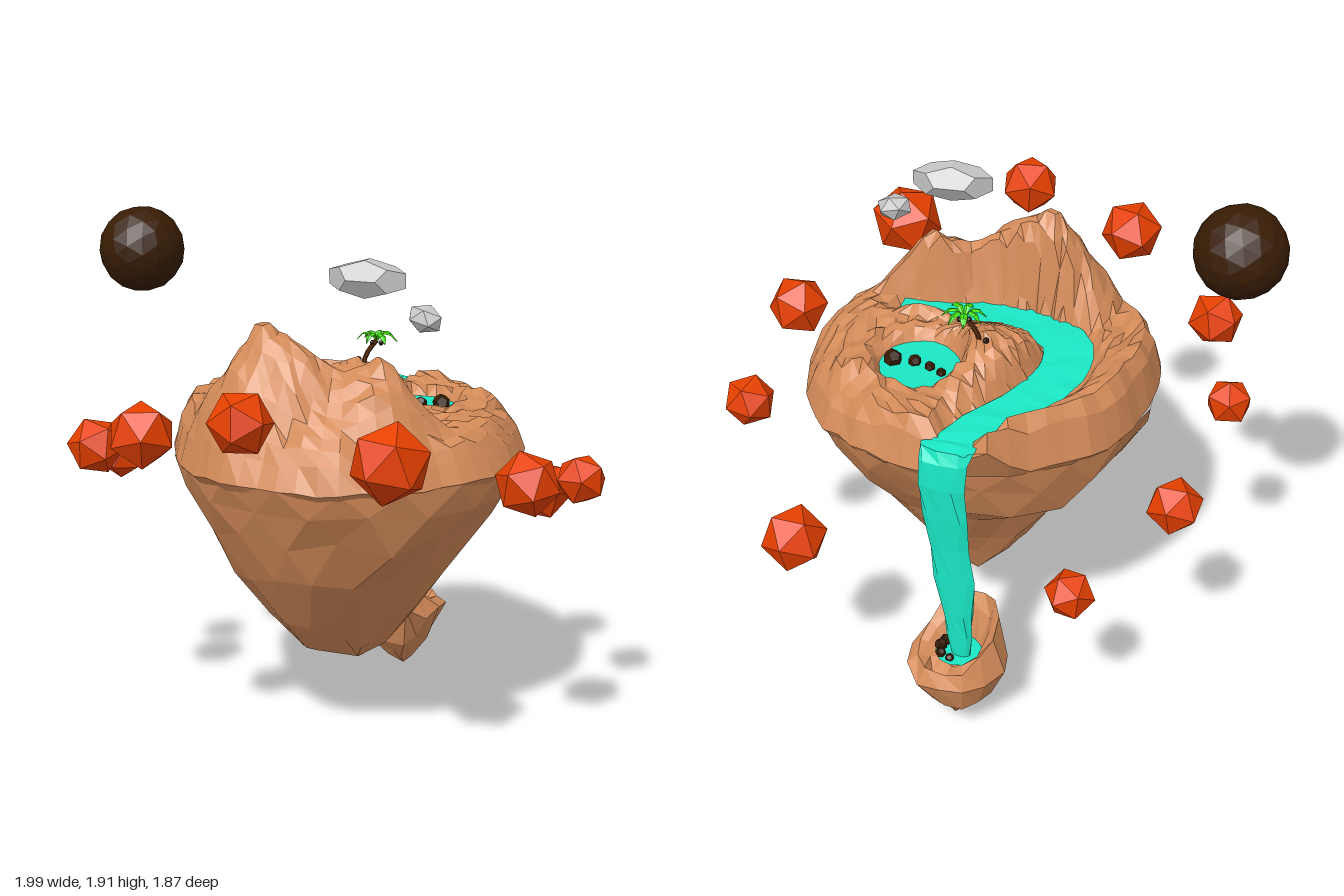
import * as THREE from 'three';

const V = (x, y, z) => new THREE.Vector3(x, y, z);
const mat = (name, color, extra = {}) => {
  const m = new THREE.MeshStandardMaterial({ color, flatShading: true, ...extra });
  m.name = name;
  return m;
};
const M = {
  rock: mat('sandstone', 0xd48b59),
  water: mat('turquoise water', 0x1cf4d0, { side: THREE.DoubleSide }),
  red: mat('red rock', 0xe64000),
  dark: mat('dark brown', 0x381c04),
  grey: mat('cloud grey', 0xc6c6c6),
  green: mat('palm green', 0x42e40c, { side: THREE.DoubleSide }),
  trunk: mat('trunk brown', 0x5a3010),
};

let seed = 7;
const rnd = () => {
  seed = (seed * 16807) % 2147483647;
  return seed / 2147483647;
};
const jit = (a) => (rnd() - 0.5) * 2 * a;

// Surface through a list of point rings (equal lengths).
function loft(rings, wrap = true) {
  const n = rings[0].length, idx = [];
  for (let i = 0; i < rings.length - 1; i++)
    for (let j = 0; j < (wrap ? n : n - 1); j++) {
      const k = (j + 1) % n, a = i * n + j, b = i * n + k;
      idx.push(a, b, a + n, b, b + n, a + n);
    }
  const g = new THREE.BufferGeometry().setFromPoints(rings.flat());
  g.setIndex(idx);
  g.computeVertexNormals();
  return g;
}
const ring = (n, fn, shift = 0) =>
  Array.from({ length: n }, (_, j) => fn(((j + shift) / n) * Math.PI * 2));

// River course, half width along it, and water level
const RIVER = new THREE.CatmullRomCurve3([
  V(0.09, 1.24, 0.34), V(0, 1.24, 0.22), V(-0.13, 1.24, 0.08), V(-0.22, 1.235, -0.1),
  V(-0.22, 1.235, -0.24), V(-0.1, 1.23, -0.36), V(0.1, 1.225, -0.42), V(0.33, 1.22, -0.425), V(0.5, 1.212, -0.465),
]);
const riverPts = RIVER.getSpacedPoints(50);
const riverW = (t) => 0.036 + 0.04 * THREE.MathUtils.smoothstep(t, 0.05, 0.4);
const POOL = V(0.265, 1.225, -0.015);

// Cone-shaped hills: x, z, height, radius
const HILLS = [
  [-0.37, 0.04, 0.37, 0.28], [-0.05, 0.31, 0.27, 0.22], [-0.24, 0.2, 0.13, 0.18],
  [-0.3, 0.34, 0.05, 0.16], [-0.12, 0.43, 0.04, 0.13], [0.1, -0.18, 0.13, 0.26],
  [0.42, -0.56, 0.13, 0.16], [0.5, 0.1, 0.03, 0.15],
];

function height(x, z, q, ang) {
  const back = Math.max(0, -Math.sin(ang));
  let h = 1.265 - 0.175 * Math.pow(q, 10 + 14 * back);
  // raised bank behind the river
  h += 0.045 * Math.sqrt(back) * Math.max(0, 1 - Math.abs(q - 0.89) / 0.14);
  for (const [hx, hz, a, r] of HILLS)
    h += a * Math.max(0, 1 - Math.hypot(x - hx, z - hz) / r);
  h += jit(0.014) * Math.min(1, q * 2.5) * (q < 0.97 ? 1 : 0.6);
  // carve the river bed and the pool
  let gap = 9;
  riverPts.forEach((p, i) => {
    gap = Math.min(gap, Math.hypot(x - p.x, z - p.z) - riverW(i / 50));
  });
  gap = Math.min(gap, Math.hypot(x - POOL.x, z - POOL.z) - 0.128);
  const t = THREE.MathUtils.smoothstep(gap, -0.015, 0.06);
  return Math.min(h, THREE.MathUtils.lerp(1.18, h, t));
}

function islandTop() {
  const n = 54, m = 18;
  // slightly wavy rim with a bulge beside the waterfall
  const edge = ring(n, (a) => 1 + 0.012 * Math.sin(a * 7) + jit(0.01) + 0.06 * Math.exp(-(((a - 5.36) / 0.14) ** 2)));
  const rings = [];
  for (let i = 0; i <= m; i++) {
    const q = i / m;
    rings.push(Array.from({ length: n }, (_, j) => {
      const a = (j / n) * Math.PI * 2;
      const k = q * edge[j] + (i > 3 && i < m ? jit(0.011) : 0);
      const x = 0.65 * k * Math.cos(a), z = -0.03 + 0.64 * k * Math.sin(a);
      return V(x, height(x, z, q, a), z);
    }));
  }
  // tucked-in lip below the rim
  rings.push(ring(n, (a) => V(0.58 * Math.cos(a), 1.0, -0.03 + 0.57 * Math.sin(a))));
  return loft(rings);
}

function islandBase() {
  // y, centre x, radius x, centre z, radius z
  const rows = [
    [1.09, 0, 0.648, -0.03, 0.638], [0.98, -0.01, 0.605, -0.03, 0.6], [0.86, -0.02, 0.54, -0.03, 0.54],
    [0.68, -0.035, 0.43, 0, 0.385], [0.5, -0.03, 0.295, -0.01, 0.245],
    [0.36, -0.01, 0.18, -0.045, 0.13], [0.235, 0.065, 0, -0.085, 0],
  ];
  return loft(rows.map(([y, cx, rx, cz, rz], i) => ring(18, (a) => {
    const k = 1 + (i ? jit(i > 1 ? 0.05 : 0.025) : 0);
    return V(cx + rx * k * Math.cos(a), y + (i && rx ? jit(0.03) : 0), cz + rz * k * Math.sin(a));
  }, i * 0.5)));
}

function smallIsland() {
  // radius, height, how much the rim tilt applies
  const rows = [[0, 0.28, 0], [0.075, 0.285, 0], [0.115, 0.34, 0.6], [0.15, 0.38, 1],
    [0.182, 0.275, 0.3], [0.13, 0.15, 0], [0.06, 0.07, 0], [0, 0.005, 0]];
  return loft(rows.map(([r, y, t], i) => ring(13, (a) => {
    const k = r * (1 + jit(0.07));
    return V(0.455 + (r ? 0 : 0.02) + k * Math.cos(a), y - 0.1 * t * Math.cos(a) + (r && i > 1 ? jit(0.025) : 0),
      -0.47 + k * Math.sin(a));
  })));
}

function river() {
  return loft(riverPts.filter((_, i) => i % 2 === 0).map((p, i) => {
    const t = i / 25, d = RIVER.getTangentAt(t), w = riverW(t) + 0.03 * (1 - t);
    const s = V(-d.z, 0, d.x).normalize();
    return [-1, 0, 1].map((k) => p.clone().addScaledVector(s, -k * w).add(V(0, jit(0.004), 0)));
  }), false);
}

// Falling sheet, turned to face the back right
function waterfall() {
  // x, y, z, half depth, half width
  const rows = [[0.47, 1.222, -0.455, 0, 0], [0.485, 1.214, -0.455, 0.035, 0.1], [0.515, 1.17, -0.465, 0.022, 0.092],
    [0.525, 1.07, -0.468, 0.02, 0.086], [0.515, 0.94, -0.472, 0.02, 0.08], [0.497, 0.8, -0.475, 0.02, 0.076],
    [0.485, 0.65, -0.483, 0.02, 0.072], [0.475, 0.5, -0.487, 0.02, 0.06], [0.468, 0.39, -0.49, 0.017, 0.048],
    [0.465, 0.29, -0.493, 0.015, 0.034]];
  const c = 0.84, s = 0.54;
  return loft(rows.map(([x, y, z, rx, rz], i) => ring(8, (a) => {
    const u = rx * Math.cos(a) * (1 + jit(0.15)), v = rz * Math.sin(a) * (1 + jit(0.08));
    return V(x + c * u + s * v, y, z - s * u + c * v);
  }, (i % 2) * 0.4)));
}

export function createModel() {
  const model = new THREE.Group();
  model.name = 'floatingIsland';
  const add = (name, geo, material, pos = [0, 0, 0], rot = [0, 0, 0], scale = [1, 1, 1]) => {
    const mesh = new THREE.Mesh(geo, material);
    mesh.name = name;
    mesh.position.set(...pos);
    mesh.rotation.set(...rot);
    mesh.scale.set(...scale);
    model.add(mesh);
  };

  add('islandTop', islandTop(), M.rock);
  add('islandBase', islandBase(), M.rock);
  add('smallIsland', smallIsland(), M.rock);
  add('river', river(), M.water);
  add('waterfall', waterfall(), M.water);
  const flat = [-Math.PI / 2, 0, 0];
  add('pool', new THREE.CircleGeometry(0.16, 20), M.water, POOL.toArray(), flat);
  add('smallPool', new THREE.CircleGeometry(0.085, 12), M.water, [0.46, 0.302, -0.47], flat);

  // Red rocks floating around the island: x, y, z, radius
  [[-0.22, 0.86, -0.84, 0.104], [0.26, 0.71, -0.84, 0.091], [-0.67, 1, -0.635, 0.089], [-0.875, 1.13, -0.34, 0.107],
    [-0.886, 1.285, 0.155, 0.121], [-0.69, 1.39, 0.54, 0.115], [-0.277, 1.265, 0.8, 0.142], [0.287, 1.11, 0.745, 0.118],
    [0.7, 1, 0.46, 0.098], [0.886, 0.795, -0.09, 0.12]].forEach(([x, y, z, r], i) =>
    add('redRock', new THREE.IcosahedronGeometry(r, 0), M.red, [x, y, z], [0.5 + jit(0.15), i * 0.7, jit(0.2)]));

  // Dark moon and grey clouds
  add('darkMoon', new THREE.IcosahedronGeometry(0.163, 2), M.dark, [-0.507, 1.76, -0.78]);
  add('largeCloud', new THREE.DodecahedronGeometry(1, 0), M.grey, [-0.052, 1.762, 0.208], [0, 0.7, 0], [0.074, 0.072, 0.155]);
  add('smallCloud', new THREE.IcosahedronGeometry(1, 0), M.grey, [0.09, 1.635, 0.37], [0.3, 0.6, 0], [0.057, 0.05, 0.07]);

  // Dark stones: x, y, z, radius
  [[0.25, 1.235, -0.11, 0.018], [0.258, 1.235, -0.055, 0.02], [0.28, 1.237, 0.005, 0.024], [0.335, 1.242, 0.062, 0.034],
    [0.132, 1.375, -0.215, 0.012], [0.5, 0.315, -0.42, 0.024], [0.525, 0.312, -0.45, 0.02], [0.47, 0.315, -0.41, 0.022],
    [0.515, 0.31, -0.49, 0.016]].forEach(([x, y, z, r]) =>
    add('stone', new THREE.DodecahedronGeometry(r, 0), M.dark, [x, y, z], [jit(1), jit(1), 0]));

  // Palm tree: leaning trunk, drooping fronds, coconuts
  const crown = V(0.175, 1.458, -0.148);
  const lean = new THREE.CatmullRomCurve3([V(0.13, 1.33, -0.185), V(0.145, 1.4, -0.175), crown]);
  add('palmTrunk', new THREE.TubeGeometry(lean, 5, 0.009, 6), M.trunk);
  for (let i = 0; i < 7; i++) {
    const len = 0.078 + jit(0.01);
    const rows = [[0, 0, 0.004], [0.35, 0.03, 0.012], [0.7, 0.026, 0.013], [1, 0, 0.001]];
    const leaf = loft(rows.map(([t, y, w]) => [V(t * len, y - 0.005, -w), V(t * len, y, 0), V(t * len, y - 0.005, w)]), false);
    add('palmFrond', leaf, M.green, crown.toArray(), [0, (i / 7) * Math.PI * 2 + jit(0.2), 0]);
  }
  for (const s of [-1, 1])
    add('coconut', new THREE.IcosahedronGeometry(0.011, 0), M.dark, [crown.x + s * 0.013, 1.446, crown.z + s * 0.01]);

  return model;
}
